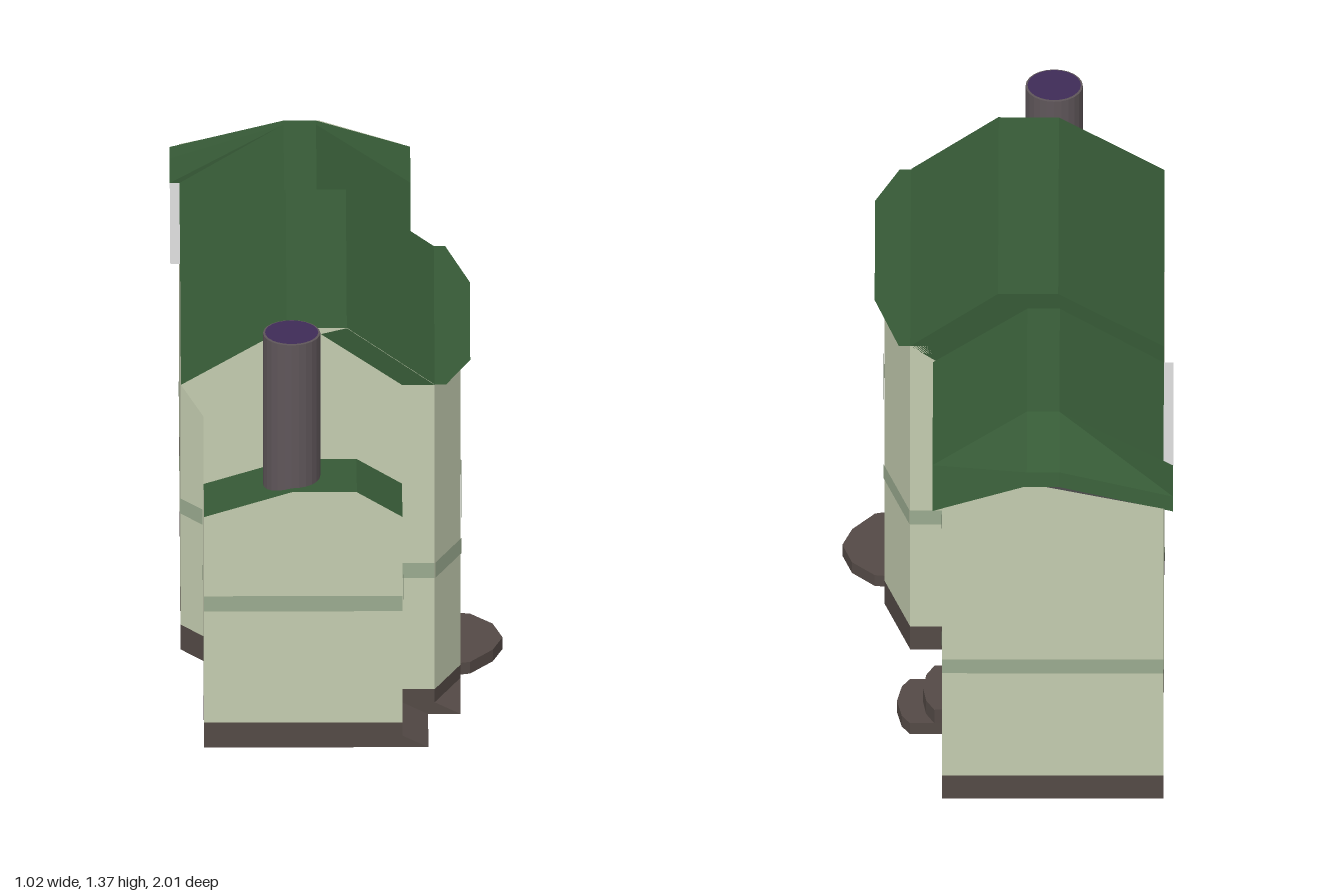
import * as THREE from 'three';

const mat = (color) => new THREE.MeshStandardMaterial({ color, flatShading: true, side: THREE.DoubleSide });

export function createModel() {
  const house = new THREE.Group();
  house.name = 'house';
  const M = {
    wall: mat(0xc4ccb0), roof: mat(0x365a36), base: mat(0x544a46), band: mat(0x9bab90),
    glass: mat(0xa6b6b8), frame: mat(0x4d4441), chimney: mat(0x5f565a), cap: mat(0x3f2c58),
    grey: mat(0xcccccc), under: mat(0x444444),
  };
  const add = (parent, name, geo, m) => {
    const mesh = new THREE.Mesh(geo, m);
    mesh.name = name;
    parent.add(mesh);
    return mesh;
  };
  const shape = (pts) => new THREE.Shape(pts.map(([x, y]) => new THREE.Vector2(x, y)));
  const rect = (u0, u1, y0, y1) => [[u0, y0], [u1, y0], [u1, y1], [u0, y1]];
  const ring = (outer, inner) => {
    const s = shape(outer);
    s.holes.push(new THREE.Path(shape(inner).getPoints()));
    return s;
  };

  // Group whose local x runs from plan point a to b, with local z facing outwards
  const side = (name, a, b) => {
    const g = new THREE.Group();
    g.name = name;
    g.position.set(a[0], 0, a[1]);
    g.rotation.y = Math.atan2(a[1] - b[1], b[0] - a[0]);
    house.add(g);
    return g;
  };

  // Surface through rows of [x, y] points, each row at its own z
  const sheet = (name, rows, m) => {
    const n = rows[0].pts.length, pos = [], idx = [];
    rows.forEach((r) => r.pts.forEach(([x, y]) => pos.push(x, y, r.z)));
    for (let i = 0; i < rows.length - 1; i++) {
      for (let j = 0; j < n - 1; j++) {
        const p = i * n + j, q = p + n;
        idx.push(p, q, p + 1, p + 1, q, q + 1);
      }
    }
    const g = new THREE.BufferGeometry();
    g.setAttribute('position', new THREE.Float32BufferAttribute(pos, 3));
    g.setIndex(idx);
    g.computeVertexNormals();
    return add(house, name, g, m);
  };

  // Recessed opening: reveal, then a framed pane or a door
  const opening = (g, { u, y, depth, door }) => {
    const e = 0.004, f = 0.016;
    const hole = rect(u[0], u[1], y[0], y[1]);
    const outer = rect(u[0] - e, u[1] + e, y[0] - e, y[1] + e);
    add(g, 'reveal', new THREE.ExtrudeGeometry(ring(outer, hole), { depth, bevelEnabled: false }), M.wall)
      .position.z = -depth - 0.001;
    if (door) {
      add(g, 'door', new THREE.ShapeGeometry(shape(hole)), M.base).position.z = -depth;
      return;
    }
    const inner = rect(u[0] + f, u[1] - f, y[0] + f, y[1] - f);
    add(g, 'windowFrame', new THREE.ExtrudeGeometry(ring(hole, inner), { depth: 0.012, bevelEnabled: false }), M.frame)
      .position.z = -depth;
    add(g, 'windowPane', new THREE.ShapeGeometry(shape(hole)), M.glass).position.z = -depth;
  };

  // Outline of the walls; each entry starts a wall that runs to the next one.
  // h: height at start and end, top: gable points, arch: raised band, open: openings
  const outline = [
    { p: [-0.41, 1], h: [0.79, 0.79], top: [[0.27, 0.875], [0.47, 0.875]] },
    { p: [0.2, 1], h: [0.79, 0.79], arch: [[0.04, 0.52], [0.08, 0.555], [0.13, 0.555], [0.17, 0.52]] },
    { p: [0.2, 0.77], h: [0.8, 0.8] },
    { p: [0.3, 0.77], h: [1.13, 1.13] },
    { p: [0.38, 0.6], h: [1.13, 1.13],
      arch: [[0.002, 0.52], [0.1, 0.635], [0.2, 0.665], [0.34, 0.665], [0.45, 0.635], [0.538, 0.52]],
      open: [{ u: [0.005, 0.535], y: [0.79, 1.03], depth: 0.04 }, { u: [0.005, 0.535], y: [0.205, 0.465], depth: 0.04 }] },
    { p: [0.38, 0.06], h: [1.13, 1.13] },
    { p: [0.3, -0.19], h: [1.13, 1.13] },
    { p: [0.2, -0.19], h: [1.08, 1.08],
      arch: [[0.21, 0.52], [0.26, 0.605], [0.3, 0.62], [0.37, 0.62], [0.41, 0.605], [0.46, 0.52]],
      open: [{ u: [0.21, 0.56], y: [0.79, 1.03], depth: 0.04 }, { u: [0.565, 0.73], y: [0.205, 0.465], depth: 0.04 },
        { u: [0.21, 0.455], y: [0.09, 0.465], depth: 0.1, door: true }] },
    { p: [0.2, -1], h: [1.08, 1.08], top: [[0.25, 1.16], [0.32, 1.16]] },
    { p: [-0.48, -1], h: [1.07, 1.07] },
    { p: [-0.48, -0.19], h: [1.13, 1.13] },
    { p: [-0.48, 0.32], h: [1.13, 1.02] },
    { p: [-0.41, 0.4], h: [1.02, 1.02] },
    { p: [-0.41, 0.77], h: [0.79, 0.79] },
  ];
  const baseTop = 0.085;
  outline.forEach((w, i) => {
    const a = w.p, b = outline[(i + 1) % outline.length].p;
    const len = Math.hypot(b[0] - a[0], b[1] - a[1]);
    const g = side('wallSection', a, b);
    const s = shape([[0, baseTop], [len, baseTop], [len, w.h[1]], ...(w.top || []).slice().reverse(), [0, w.h[0]]]);
    (w.open || []).forEach((o) => {
      s.holes.push(new THREE.Path(shape(rect(...o.u, ...o.y)).getPoints()));
      opening(g, o);
    });
    add(g, 'wall', new THREE.ShapeGeometry(s), M.wall);
    add(g, 'plinth', new THREE.ShapeGeometry(shape(rect(0, len, 0, baseTop))), M.base);
    const band = [[0, 0.468], [len, 0.468], [len, 0.52], ...(w.arch || []).slice().reverse(), [0, 0.52]];
    add(g, 'band', new THREE.ShapeGeometry(shape(band)), M.band).position.z = 0.003;
  });

  // Underside
  add(house, 'floor', new THREE.ShapeGeometry(shape(outline.map((w) => w.p))).rotateX(Math.PI / 2), M.under);

  // Upper front gable with its green verge, and the gable above the rear roof
  const front = side('frontGable', [-0.48, 0.77], [0.3, 0.77]);
  add(front, 'gableWall', new THREE.ShapeGeometry(shape([[0.07, 0.75], [0.78, 0.75], [0.78, 1.13],
    [0.51, 1.325], [0.325, 1.325], [0, 1.13], [0.07, 1.02]])), M.wall);
  add(front, 'verge', new THREE.ShapeGeometry(shape([[0.68, 1.13], [0.78, 1.13], [0.51, 1.325], [0.43, 1.305]])), M.roof)
    .position.z = 0.003;
  const back = side('innerGable', [0.3, -0.19], [-0.48, -0.19]);
  add(back, 'gableWall', new THREE.ShapeGeometry(shape([[0, 1.13], [0.1, 1.06], [0.78, 1.06], [0.78, 1.13],
    [0.455, 1.325], [0.27, 1.325]])), M.roof);

  // Wall flaring out under the left eave
  sheet('eaveFlare', [
    { z: 0.32, pts: [[-0.48, 1.13], [-0.48, 1.13]] },
    { z: 0.4, pts: [[-0.48, 1.13], [-0.41, 1.02]] },
    { z: 0.77, pts: [[-0.48, 1.13], [-0.41, 1.02]] },
  ], M.wall);

  // Main roof over the bowed front
  const mainRow = (z, eave) => ({ z, pts: [[-0.48, 1.13], [-0.155, 1.325], [0.03, 1.325], [0.3, 1.13], [eave, 1.13]] });
  sheet('mainRoof', [mainRow(0.77, 0.335), mainRow(0.6, 0.41), mainRow(0.06, 0.41), mainRow(-0.19, 0.335)], M.roof);

  // Rear roof, dropping towards the end gable
  const rearRow = (z, left, ridge) => ({ z, pts: [[left, 1.07], [-0.16, ridge], [-0.06, ridge], [0.23, 1.07]] });
  sheet('rearRoof', [rearRow(-0.19, -0.48, 1.27), rearRow(-0.75, -0.48, 1.27), rearRow(-0.75, -0.51, 1.27),
    rearRow(-0.92, -0.51, 1.16), rearRow(-1, -0.51, 1.16)], M.roof);
  sheet('gutterStrip', [-0.19, -0.75].map((z) => ({ z, pts: [[-0.51, 1.07], [-0.48, 1.07]] })), M.grey);

  // Annex roof
  sheet('annexRoof', [1, 0.77].map((z) => ({ z, pts: [[-0.41, 0.79], [-0.14, 0.875], [0.06, 0.875], [0.2, 0.79]] })), M.roof);

  // Chimney
  const chimney = add(house, 'chimney', new THREE.CylinderGeometry(0.088, 0.088, 0.53, 24), M.chimney);
  chimney.position.set(-0.14, 1.1, 0.885);
  add(house, 'chimneyCap', new THREE.CircleGeometry(0.082, 24).rotateX(-Math.PI / 2), M.cap)
    .position.set(-0.14, 1.367, 0.885);

  // Sloped feet of the plinth
  sheet('annexFoot', [
    { z: 1, pts: [[0.2, 0], [0.2, 0]] }, { z: 1, pts: [[0.2, 0.04], [0.28, 0]] }, { z: 0.77, pts: [[0.2, 0.04], [0.28, 0]] },
  ], M.base);
  sheet('cornerFoot', [
    { z: 0.77, pts: [[0.3, 0], [0.3, 0]] }, { z: 0.77, pts: [[0.3, 0.04], [0.38, 0]] }, { z: 0.6, pts: [[0.38, 0.04], [0.38, 0]] },
  ], M.base);

  // Garden and door steps, extruded upwards from their plan
  const step = (name, plan, y0, y1) =>
    add(house, name, new THREE.ExtrudeGeometry(shape(plan.map(([x, z]) => [x, -z])),
      { depth: y1 - y0, bevelEnabled: false }).rotateX(-Math.PI / 2), M.base).position.y = y0;
  step('bayStep', [[0.37, 0.5], [0.41, 0.49], [0.48, 0.405], [0.51, 0.32], [0.48, 0.225], [0.41, 0.155], [0.37, 0.15]], 0, 0.04);
  step('lowerDoorStep', [[0.19, -0.41], [0.3, -0.41], [0.325, -0.45], [0.34, -0.53], [0.325, -0.61], [0.3, -0.65], [0.19, -0.65]], 0, 0.04);
  step('upperDoorStep', [[0.1, -0.405], [0.225, -0.41], [0.25, -0.46], [0.26, -0.53], [0.25, -0.6], [0.225, -0.65], [0.1, -0.645]], 0.04, 0.09);

  return house;
}
